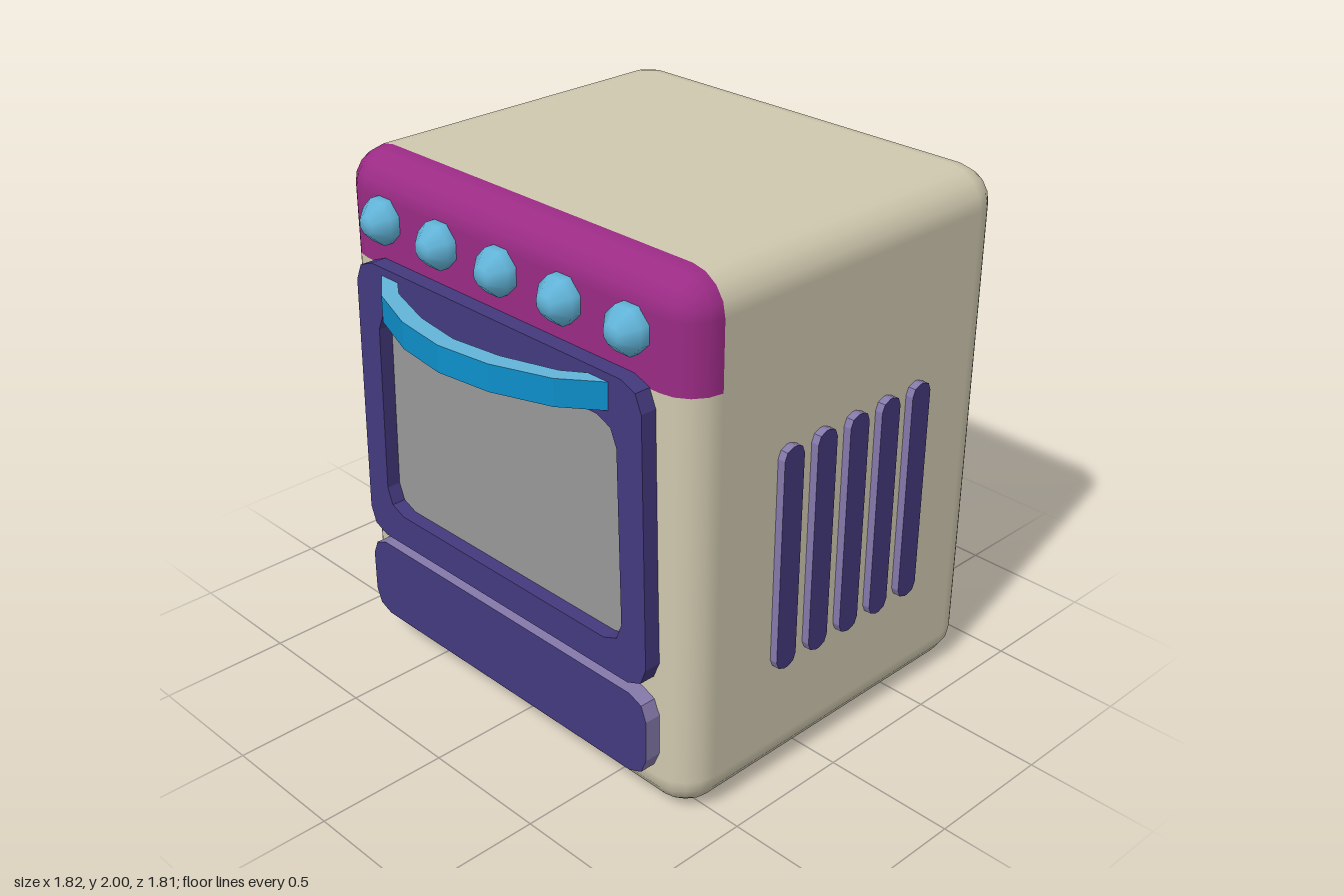
import * as THREE from 'three';

const mat = (name, color) => {
  const m = new THREE.MeshStandardMaterial({ color });
  m.name = name;
  return m;
};

// Four-sided outline, symmetric in x, with softly cut corners
function outline(halfBottom, halfTop, y0, y1, r, Type = THREE.Shape) {
  const corners = [[-halfBottom, y0], [halfBottom, y0], [halfTop, y1], [-halfTop, y1]]
    .map(([x, y]) => new THREE.Vector2(x, y));
  const pts = [];
  corners.forEach((c, i) => {
    const toward = (n) => corners[n % 4].clone().sub(c).setLength(r);
    const a = toward(i + 3), b = toward(i + 1);
    pts.push(c.clone().add(a), c.clone().addScaledVector(a, 0.29).addScaledVector(b, 0.29), c.clone().add(b));
  });
  return new Type(pts);
}

const extrude = (shape, depth) => new THREE.ExtrudeGeometry(shape, { depth, bevelEnabled: false });

// Rounded box whose grid has a row at y = split, so the upper front can be coloured on its own
function roundedBody(min, max, r, split) {
  const k = r * (1 - Math.tan(Math.PI / 8));
  const grid = [0, split, 0].map((mid, a) =>
    [min[a], min[a] + k, min[a] + r, mid, max[a] - r, max[a] - k, max[a]]);
  const geo = new THREE.BoxGeometry(1, 1, 1, 6, 6, 6);
  const pos = geo.attributes.position, nor = geo.attributes.normal;
  const lo = new THREE.Vector3(...min).addScalar(r);
  const hi = new THREE.Vector3(...max).subScalar(r);
  const p = new THREE.Vector3(), inner = new THREE.Vector3();
  for (let i = 0; i < pos.count; i++) {
    const c = [pos.getX(i), pos.getY(i), pos.getZ(i)].map((v, a) => grid[a][Math.round((v + 0.5) * 6)]);
    p.set(...c);
    inner.copy(p).clamp(lo, hi);
    p.sub(inner).normalize();
    nor.setXYZ(i, p.x, p.y, p.z);
    p.multiplyScalar(r).add(inner);
    pos.setXYZ(i, p.x, p.y, p.z);
  }
  // Sort faces into casing and control panel
  const idx = geo.index.array, sets = [[], []];
  for (let i = 0; i < idx.length; i += 3) {
    const t = [idx[i], idx[i + 1], idx[i + 2]];
    const mean = (get) => t.reduce((s, v) => s + get(v), 0) / 3;
    const panel = mean((v) => pos.getY(v)) > split && mean((v) => pos.getZ(v)) > hi.z + 1e-4;
    sets[panel ? 1 : 0].push(...t);
  }
  geo.setIndex([...sets[0], ...sets[1]]);
  geo.clearGroups();
  geo.addGroup(0, sets[0].length, 0);
  geo.addGroup(sets[0].length, sets[1].length, 1);
  return geo;
}

export function createModel() {
  const model = new THREE.Group();
  model.name = 'stove';
  const cream = mat('cream enamel', 0xd0c9af);
  const magenta = mat('magenta panel', 0x9b2b85);
  const indigo = mat('indigo', 0x443a7e);
  const lavender = mat('lavender edge', 0x8579ab);
  const blue = mat('blue handle', 0x0d8fca);
  const sky = mat('light blue', 0x62b5da);
  const grey = mat('grey glass', 0x999999);

  const add = (name, geo, material, x = 0, y = 0, z = 0) => {
    const m = new THREE.Mesh(geo, material);
    m.name = name;
    m.position.set(x, y, z);
    model.add(m);
    return m;
  };

  // Casing with the control panel wrapped over its upper front
  add('body', roundedBody([-0.88, 0, -0.905], [0.88, 2, 0.63], 0.14, 1.61), [cream, magenta]);

  // Oven door frame and recessed window
  const door = outline(0.75, 0.725, 0.52, 1.64, 0.09);
  door.holes.push(outline(0.635, 0.612, 0.645, 1.48, 0.09, THREE.Path));
  add('doorFrame', extrude(door, 0.07), indigo, 0, 0, 0.622);
  add('doorWindow', extrude(outline(0.64, 0.617, 0.64, 1.485, 0.09), 0.008), grey, 0, 0, 0.629);

  // Drawer below the door
  add('drawer', extrude(outline(0.75, 0.75, 0.16, 0.48, 0.08), 0.07), [indigo, lavender], 0, 0, 0.622);

  // Bowed door handle
  const outer = [[0.6, 0.675], [0.44, 0.797], [0.22, 0.877], [0, 0.905]];
  const inner = [[0, 0.838], [0.2, 0.812], [0.41, 0.745], [0.51, 0.675]];
  const flip = (list) => list.map(([x, z]) => [-x, z]).reverse();
  const bow = [...outer, ...flip(outer).slice(1), ...flip(inner), ...inner.slice(1)];
  const handle = extrude(new THREE.Shape(bow.map(([x, z]) => new THREE.Vector2(x, z))), 0.1);
  handle.rotateX(Math.PI / 2);
  add('handle', handle, [sky, blue], 0, 1.61, 0);

  // Row of faceted round knobs
  const profile = [-3, -1, 1, 3].map((s) => {
    const a = s * Math.PI / 8;
    return new THREE.Vector2(Math.cos(a) * 0.093, Math.sin(a) * 0.093);
  });
  profile.push(new THREE.Vector2(0, profile[3].y));
  const knob = new THREE.LatheGeometry(profile, 8, Math.PI / 8);
  knob.rotateX(Math.PI / 2);
  for (let i = -2; i <= 2; i++) add('knob', knob, sky, i * 0.309, 1.79, 0.63);

  // Vertical vent bars on both sides
  const vent = extrude(outline(0.048, 0.048, 0.455, 1.32, 0.04), 0.05);
  for (const side of [-1, 1]) {
    for (let i = 0; i < 5; i++) {
      const bar = add(side > 0 ? 'leftVent' : 'rightVent', vent, [indigo, lavender], side * 0.86, 0, 0.178 - i * 0.163);
      bar.rotation.y = side * Math.PI / 2;
    }
  }
  return model;
}
